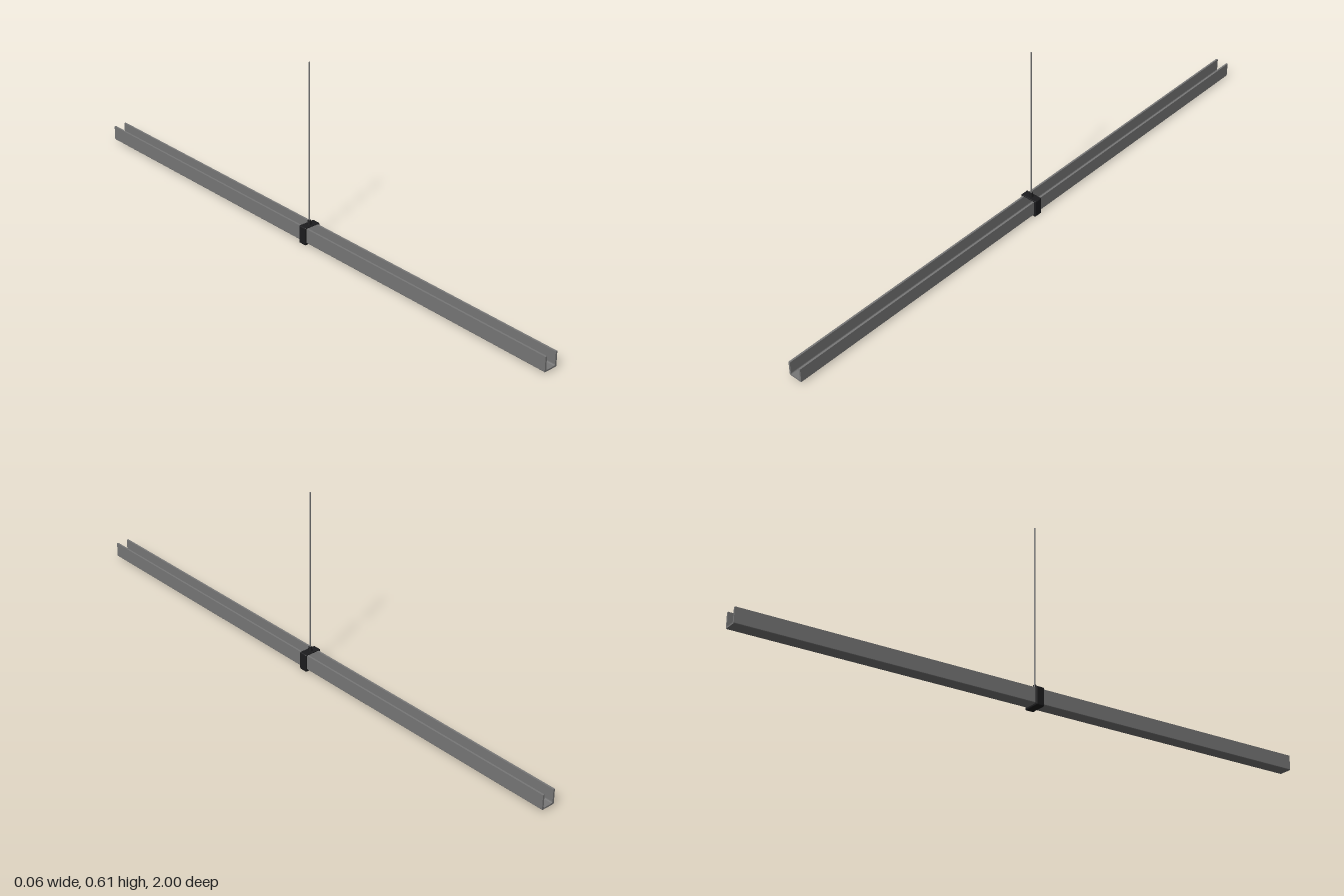
import * as THREE from 'three';

// Rectangle with rounded corners, traced on a Shape or Path
function roundedRect(path, x0, y0, x1, y1, r) {
  path.moveTo(x0 + r, y0);
  path.lineTo(x1 - r, y0);
  path.quadraticCurveTo(x1, y0, x1, y0 + r);
  path.lineTo(x1, y1 - r);
  path.quadraticCurveTo(x1, y1, x1 - r, y1);
  path.lineTo(x0 + r, y1);
  path.quadraticCurveTo(x0, y1, x0, y1 - r);
  path.lineTo(x0, y0 + r);
  path.quadraticCurveTo(x0, y0, x0 + r, y0);
  return path;
}

export function createModel() {
  const model = new THREE.Group();
  const steel = new THREE.MeshStandardMaterial({ color: 0x777777 });
  steel.name = 'grey metal';
  const black = new THREE.MeshStandardMaterial({ color: 0x1c1c1e });
  black.name = 'black plastic';

  const add = (name, geometry, material, y = 0) => {
    const mesh = new THREE.Mesh(geometry, material);
    mesh.name = name;
    mesh.position.y = y;
    model.add(mesh);
    return mesh;
  };

  // Long U-shaped channel, open at the top, filleted along the floor
  const w = 0.024, wall = 0.006, bottom = 0.007, top = 0.057;
  const inner = w - wall, floor = bottom + 0.005, ro = 0.003, ri = 0.005;
  const u = new THREE.Shape();
  u.moveTo(-w + ro, bottom);
  u.lineTo(w - ro, bottom);
  u.quadraticCurveTo(w, bottom, w, bottom + ro);
  u.lineTo(w, top);
  u.lineTo(inner, top);
  u.lineTo(inner, floor + ri);
  u.quadraticCurveTo(inner, floor, inner - ri, floor);
  u.lineTo(-inner + ri, floor);
  u.quadraticCurveTo(-inner, floor, -inner, floor + ri);
  u.lineTo(-inner, top);
  u.lineTo(-w, top);
  u.lineTo(-w, bottom + ro);
  u.quadraticCurveTo(-w, bottom, -w + ro, bottom);
  const channel = new THREE.ExtrudeGeometry(u, { depth: 2, bevelEnabled: false, curveSegments: 5 });
  channel.translate(0, 0, -1);
  add('channel', channel, steel);

  // Square clamp wrapped round the middle of the channel
  const ring = roundedRect(new THREE.Shape(), -0.03, 0, 0.03, 0.061, 0.004);
  ring.holes.push(roundedRect(new THREE.Path(), -0.0235, 0.0075, 0.0235, 0.0565, 0.003));
  const bevel = 0.002, depth = 0.028;
  const clamp = new THREE.ExtrudeGeometry(ring, {
    depth: depth - 2 * bevel, bevelThickness: bevel, bevelSize: bevel,
    bevelOffset: -bevel, bevelSegments: 2, curveSegments: 4,
  });
  clamp.translate(0, 0, -depth / 2 + bevel);
  add('clamp', clamp, black);

  // Tapered socket and the hanging rod
  add('rodSocket', new THREE.CylinderGeometry(0.005, 0.0075, 0.016, 20), black, 0.067);
  add('hangerRod', new THREE.CylinderGeometry(0.0025, 0.0025, 0.545, 16), steel, 0.3335);

  return model;
}
